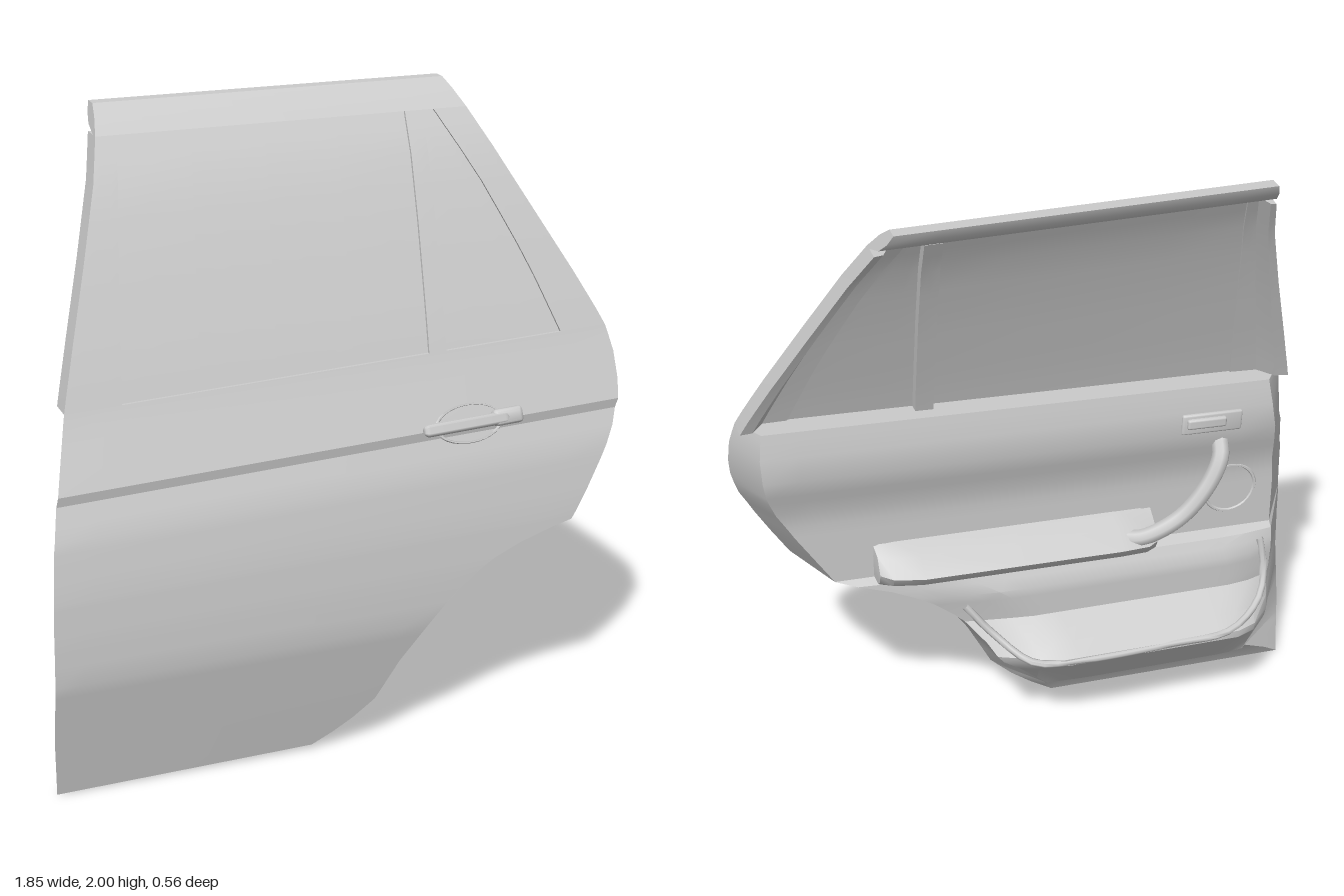
import * as THREE from 'three';
import { toCreasedNormals } from 'three/addons/utils/BufferGeometryUtils.js';
import { RoundedBoxGeometry } from 'three/addons/geometries/RoundedBoxGeometry.js';

const material = new THREE.MeshStandardMaterial({ color: 0xcccccc, side: THREE.DoubleSide });

// Piecewise-linear function through [input, output] points
const curve = (pts) => (v) => {
  if (v <= pts[0][0]) return pts[0][1];
  for (let i = 1; i < pts.length; i++) {
    const [a, fa] = pts[i - 1], [b, fb] = pts[i];
    if (v <= b) return fa + ((fb - fa) * (v - a)) / (b - a);
  }
  return pts[pts.length - 1][1];
};

// Door outline, as x against height
const frontEdge = curve([[0, -0.92], [0.2, -0.93], [0.4, -0.93], [0.6, -0.925], [0.8, -0.91], [0.97, -0.88],
  [1.2, -0.83], [1.35, -0.79], [1.6, -0.72], [1.8, -0.665], [2, -0.62]]);
const rearEdge = curve([[0.013, -0.1], [0.05, -0.03], [0.09, 0.03], [0.15, 0.1], [0.28, 0.17], [0.42, 0.27],
  [0.5, 0.35], [0.58, 0.45], [0.645, 0.6], [0.68, 0.74], [0.83, 0.83], [0.97, 0.9], [1.07, 0.925],
  [1.2, 0.92], [1.27, 0.9], [1.42, 0.82], [1.63, 0.7], [1.81, 0.6], [2, 0.495]]);

// Outer skin depth, inner trim depth and the slope of each row
const skin = curve([[0, 0.2], [0.2, 0.243], [0.405, 0.285], [0.55, 0.283], [0.7, 0.274], [0.87, 0.247], [0.97, 0.212],
  [1, 0.217], [1.2, 0.142], [1.3, 0.11], [1.4, 0.075], [1.6, 0.003], [1.8, -0.078], [1.92, -0.145], [1.97, -0.19], [2, -0.232]]);
const trim = curve([[0.02, 0.2], [0.13, 0.12], [0.15, 0.05], [0.34, -0.12], [0.365, -0.12], [0.47, 0], [0.58, 0],
  [0.645, 0.03], [0.66, 0.07], [0.9, 0.07], [0.98, 0.045], [1.06, 0.02], [1.14, 0.025], [1.22, 0.04]]);
const slope = curve([[0, 0.018], [0.2, 0.01], [0.4, 0.015], [0.9, 0.045], [1.22, 0.045], [1.92, 0], [2, 0]]);
const point = (x, row, z) => new THREE.Vector3(x, row + slope(row) * x, z);
const onRow = (edge) => (row) => edge(row + slope(row) * edge(row));
const xFront = onRow(frontEdge), xRear = onRow(rearEdge);

function mesh(name, geometry, crease = 0.5) {
  const m = new THREE.Mesh(toCreasedNormals(geometry, crease), material);
  m.name = name;
  return m;
}

// Joins closed rings of points into one surface, leaving out collapsed triangles
function loft(name, rings, crease) {
  const pos = [], tri = new THREE.Triangle();
  const add = (a, b, c) => {
    if (tri.set(a, b, c).getArea() > 1e-8) for (const p of [a, b, c]) pos.push(p.x, p.y, p.z);
  };
  for (let j = 1; j < rings.length; j++) {
    const lo = rings[j - 1], hi = rings[j], n = lo.length;
    for (let i = 0; i < n; i++) {
      const k = (i + 1) % n;
      add(lo[i], lo[k], hi[k]);
      add(lo[i], hi[k], hi[i]);
    }
  }
  const g = new THREE.BufferGeometry();
  g.setAttribute('position', new THREE.Float32BufferAttribute(pos, 3));
  return mesh(name, g, crease);
}

// Curved slab between two edges; back(row, t) gives the x inset and z of its rear face
function slab(name, rows, left, right, n, front, back) {
  const ring = (row, closed) => {
    const a = left(row), b = right(row), f = [], r = [];
    for (let i = 0; i <= n; i++) {
      const t = i / n, x = a + (b - a) * t, [dx, z] = back(row, t);
      f.push(point(x, row, front(row)));
      r.unshift(closed ? f[i] : point(x + dx, row, z));
    }
    return [...f, ...r];
  };
  return loft(name, [ring(rows[0], true), ...rows.map((y) => ring(y)), ring(rows[rows.length - 1], true)]);
}

export function createModel() {
  const door = new THREE.Group();
  door.name = 'carDoor';

  // Lower body: outer skin at the front, sculpted trim with a pocket bulge at the back
  const insetFront = curve([[0.02, 0], [0.13, 0.2], [0.35, 0.16], [0.5, 0.13], [1.22, 0.07]]);
  const insetRear = curve([[0.02, 0], [0.13, 0.15], [0.35, 0.08], [0.7, 0.1], [1.22, 0.06]]);
  const pocketWeight = curve([[0, 0.5], [0.1, 1], [0.8, 1], [1, 0.6]]);
  const inner = (row, t) => {
    const z = trim(row), base = Math.min(0.07, skin(row));
    return z < base && row > 0.13 && row < 0.65 ? base + (z - base) * pocketWeight(t) : z;
  };
  const bodyRows = [0.013, 0.05, 0.09, 0.13, 0.15, 0.2, 0.28, 0.34, 0.365, 0.405, 0.47, 0.5, 0.55, 0.58, 0.615, 0.645, 0.66, 0.68,
    0.75, 0.83, 0.87, 0.92, 0.97, 1, 1.06, 1.14, 1.2, 1.22];
  door.add(slab('doorBody', bodyRows, xFront, xRear, 14, skin, (row, t) =>
    [insetFront(row) * (1 - t) - insetRear(row) * t, inner(row, t)]));

  // Window edges
  const glassFront = curve([[1.22, -0.66], [1.45, -0.638], [1.7, -0.608], [1.92, -0.575]]);
  const glassRear = curve([[1.22, 0.308], [1.92, 0.335]]);
  const quarterFront = curve([[1.22, 0.365], [1.92, 0.39]]);
  const quarterRear = curve([[1.22, 0.75], [1.45, 0.665], [1.7, 0.55], [1.92, 0.43]]);
  const windowRows = [1.22, 1.27, 1.32, 1.4, 1.5, 1.6, 1.7, 1.8, 1.87, 1.92];

  // Window frame: deep at the outer edge, thin beside the glass
  const rim = curve([[0, 0.08], [0.25, 0.075], [0.5, 0.025], [1, 0.022]]);
  door.add(slab('frontPillar', windowRows, xFront, glassFront, 4, skin, (r, t) => [0, skin(r) - rim(t)]));
  door.add(slab('rearPillar', windowRows, quarterRear, xRear, 4, skin, (r, t) => [0, skin(r) - rim(1 - t)]));
  door.add(slab('windowDivider', windowRows, glassRear, quarterFront, 2, skin, (r) => [0, skin(r) - 0.05]));
  const headerDepth = curve([[1.92, 0.025], [1.94, 0.07], [1.97, 0.075], [2, 0.045]]);
  door.add(slab('topRail', [1.92, 1.94, 1.97, 2], xFront, xRear, 8, skin, (r) => [0, skin(r) - headerDepth(r)]));

  // Glass, set slightly back
  const glassZ = (r) => skin(r) - 0.01;
  const glassBack = (r) => [0, skin(r) - 0.016];
  door.add(slab('windowGlass', windowRows, glassFront, glassRear, 4, glassZ, glassBack));
  door.add(slab('quarterGlass', windowRows, quarterFront, quarterRear, 4, glassZ, glassBack));

  // Armrest, swelling out of the trim
  const armProfile = [[0.09, 0.63], [0.02, 0.63], [-0.02, 0.65], [-0.045, 0.685], [0.01, 0.735], [0.09, 0.775]];
  const armSwell = curve([[0, 0], [0.01, 0.75], [0.05, 0.95], [0.15, 1], [0.85, 1], [0.95, 0.85], [0.99, 0.6], [1, 0]]);
  const armRings = [0, 0.01, 0.05, 0.15, 0.5, 0.85, 0.95, 0.99, 1].map((t) =>
    armProfile.map(([z, y]) => new THREE.Vector3(-0.4 + 0.92 * t, y + 0.03 * t, 0.09 + (z - 0.09) * armSwell(t))));
  door.add(loft('armrest', armRings, 0.6));

  // Curved pull handle
  const tube = (name, pts, r, closed = false) => mesh(name, new THREE.TubeGeometry(
    new THREE.CatmullRomCurve3(pts.map((p) => new THREE.Vector3(...p)), closed), 32, r, 8, closed), 0.9);
  door.add(tube('pullHandle', [[-0.61, 0.99, 0.05], [-0.6, 0.95, 0.01], [-0.55, 0.86, -0.012],
    [-0.46, 0.76, -0.014], [-0.34, 0.71, -0.012], [-0.28, 0.7, 0.02]], 0.028));

  // Raised rim around the door pocket
  door.add(tube('pocketRim', [[-0.76, 0.6, 0.03], [-0.77, 0.5, 0.01], [-0.74, 0.42, -0.04], [-0.62, 0.36, -0.11],
    [-0.4, 0.35, -0.115], [-0.1, 0.35, -0.115], [0.05, 0.36, -0.095], [0.16, 0.44, -0.01], [0.24, 0.54, 0.02]], 0.012));

  // Speaker ring on the trim
  const speaker = mesh('speakerRing', new THREE.TorusGeometry(0.085, 0.006, 6, 28), 1);
  speaker.position.set(-0.66, 0.79, 0.069);
  door.add(speaker);

  // Inside release lever in its bezel
  const latch = new THREE.Group();
  latch.name = 'insideRelease';
  const bezel = mesh('bezel', new RoundedBoxGeometry(0.2, 0.07, 0.016, 2, 0.007));
  const lever = mesh('lever', new RoundedBoxGeometry(0.13, 0.035, 0.02, 2, 0.008));
  lever.position.set(0.02, 0.005, -0.009);
  latch.add(bezel, lever);
  latch.position.set(-0.57, 1.075, 0.022);
  latch.rotation.z = 0.045;
  door.add(latch);

  // Outside handle: cup rim, grip and lock cap, leaning with the skin
  const handle = new THREE.Group();
  handle.name = 'outsideHandle';
  const cup = mesh('handleCup', new THREE.TorusGeometry(1, 0.06, 6, 32).scale(0.108, 0.058, 0.08), 1);
  const grip = mesh('grip', new THREE.CapsuleGeometry(0.02, 0.25, 4, 12).rotateZ(Math.PI / 2).scale(1, 1, 0.7), 1);
  grip.position.set(-0.015, 0, 0.018);
  const cap = mesh('lockCap', new RoundedBoxGeometry(0.1, 0.052, 0.036, 3, 0.014));
  cap.position.set(0.125, 0.002, 0.01);
  handle.add(cup, grip, cap);
  handle.position.set(0.41, 1.022, 0.213);
  handle.rotation.set(-0.34, 0, 0.045);
  door.add(handle);

  return door;
}
